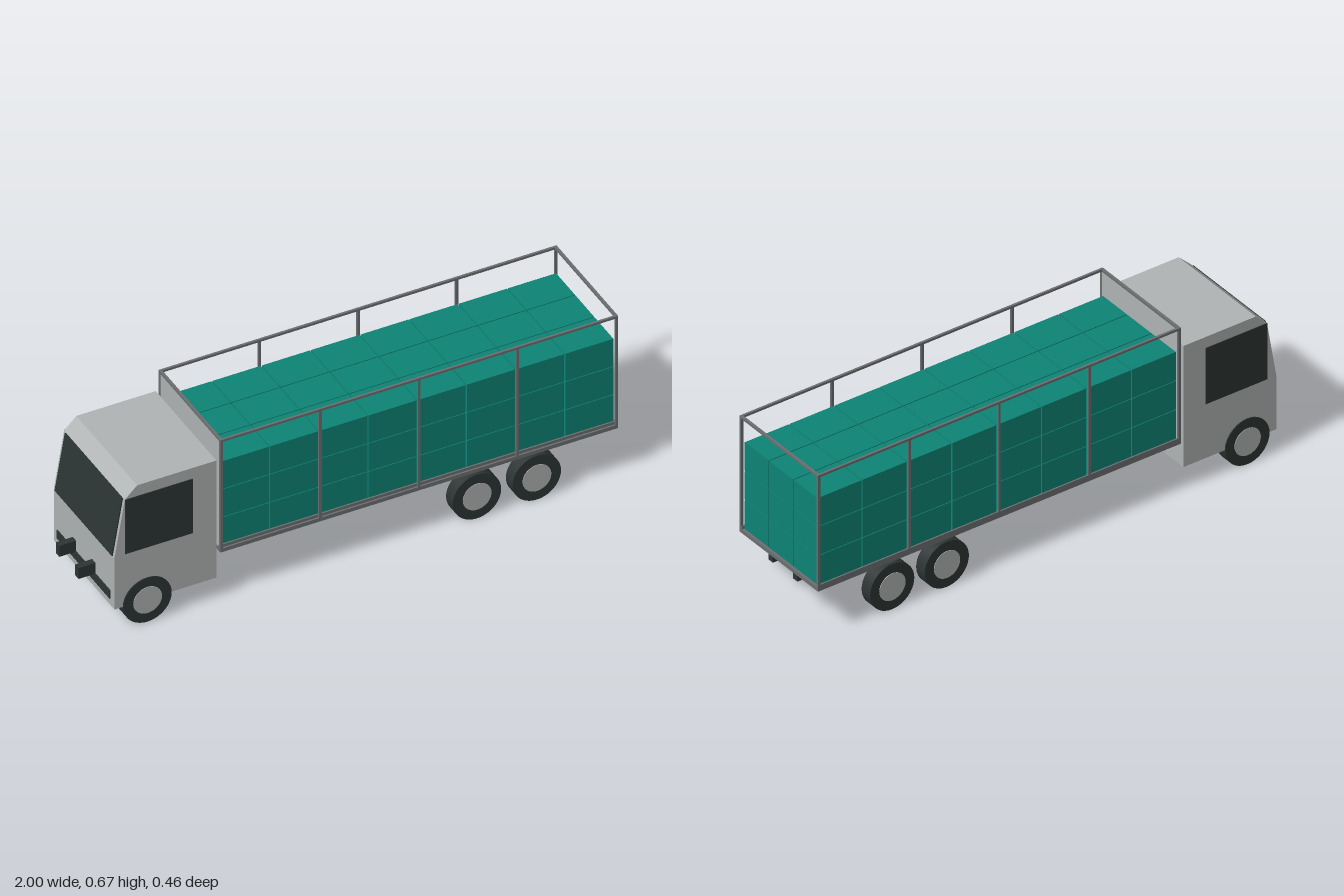
import * as THREE from 'three';

const mat = (name, color) => {
  const m = new THREE.MeshStandardMaterial({ color });
  m.name = name;
  return m;
};

export function createModel() {
  const truck = new THREE.Group();
  truck.name = 'flatbedTruck';
  const paint = mat('lightGrey', 0xb0b4b4);
  const dark = mat('darkSlate', 0x2d3534);
  const steel = mat('steelGrey', 0x6c6f71);
  const teal = mat('teal', 0x0d8475);

  const add = (name, geo, material, parent = truck) => {
    const m = new THREE.Mesh(geo, material);
    m.name = name;
    parent.add(m);
    return m;
  };
  // box given by its extents on each axis
  const box = (name, material, [x0, x1], [y0, y1], [z0, z1], parent) => {
    const m = add(name, new THREE.BoxGeometry(x1 - x0, y1 - y0, z1 - z0), material, parent);
    m.position.set((x0 + x1) / 2, (y0 + y1) / 2, (z0 + z1) / 2);
    return m;
  };

  // cab: side profile extruded across the width
  const cab = new THREE.Group();
  cab.name = 'cab';
  truck.add(cab);
  const profile = new THREE.Shape([
    [-0.935, 0.092], [-0.543, 0.092], [-0.543, 0.59], [-0.848, 0.59], [-0.895, 0.545], [-0.935, 0.31],
  ].map(([x, y]) => new THREE.Vector2(x, y)));
  const shell = new THREE.ExtrudeGeometry(profile, { depth: 0.446, bevelEnabled: false });
  add('cabShell', shell.translate(0, 0, -0.223), paint, cab);

  // windscreen lies on the sloping front
  const slopeX = 0.04, slopeY = 0.235;
  const screen = add('windscreen', new THREE.BoxGeometry(0.008, 0.235, 0.42), dark, cab);
  screen.position.set(-0.9155, 0.4275, 0);
  screen.rotation.z = -Math.atan2(slopeX, slopeY);
  box('frontGrille', dark, [-0.939, -0.931], [0.12, 0.155], [-0.195, 0.195], cab);
  for (const s of [-1, 1]) {
    const w = box('sideWindow', dark, [-0.895, -0.635], [0.315, 0.545], [-0.003, 0.003], cab);
    w.position.z = s * 0.223;
  }

  // chassis rails
  for (const s of [-1, 1]) {
    box('chassisRail', dark, [-1, 0.982], [0.152, 0.198], [s * 0.071 - 0.0125, s * 0.071 + 0.0125]);
  }

  // wheels
  const tyreGeo = new THREE.CylinderGeometry(0.093, 0.093, 0.05, 40).rotateX(Math.PI / 2);
  const hubGeo = new THREE.CylinderGeometry(0.055, 0.055, 0.006, 32).rotateX(Math.PI / 2);
  for (const x of [-0.81, 0.457, 0.687]) {
    for (const s of [-1, 1]) {
      const wheel = new THREE.Group();
      wheel.name = 'wheel';
      wheel.position.set(x, 0.093, s * 0.202);
      truck.add(wheel);
      add('tyre', tyreGeo, dark, wheel);
      add('hub', hubGeo, paint, wheel).position.z = s * 0.024;
    }
  }

  // load bed, side lips and headboard
  const bed = new THREE.Group();
  bed.name = 'loadBed';
  truck.add(bed);
  box('bedFloor', steel, [-0.53, 1], [0.196, 0.211], [-0.227, 0.227], bed);
  box('sideLip', steel, [-0.53, 1], [0.211, 0.222], [0.214, 0.22], bed);
  box('sideLip', steel, [-0.53, 1], [0.211, 0.222], [-0.228, -0.222], bed);
  box('headboard', paint, [-0.528, -0.522], [0.211, 0.666], [-0.22, 0.22], bed);

  // stake frame
  for (const s of [-1, 1]) {
    const z = [s * 0.2225 - 0.0045, s * 0.2225 + 0.0045];
    for (const x of [-0.525, -0.145, 0.235, 0.613, 0.995]) {
      box('stakePost', steel, [x - 0.005, x + 0.005], [0.211, 0.673], z, bed);
    }
    box('topSideRail', steel, [-0.53, 1], [0.664, 0.673], z, bed);
  }
  for (const x of [-0.525, 0.995]) {
    box('topCrossRail', steel, [x - 0.005, x + 0.005], [0.664, 0.673], [-0.227, 0.227], bed);
  }

  // stacked crates: 8 long, 3 high, 3 wide
  const cargo = new THREE.Group();
  cargo.name = 'cargo';
  truck.add(cargo);
  const crateGeo = new THREE.BoxGeometry(0.185, 0.117, 0.138);
  for (let i = 0; i < 8; i++) {
    for (let j = 0; j < 3; j++) {
      for (let k = -1; k <= 1; k++) {
        add('crate', crateGeo, teal, cargo)
          .position.set(-0.4275 + i * 0.1893, 0.2705 + j * 0.1195, k * 0.1415);
      }
    }
  }
  return truck;
}
